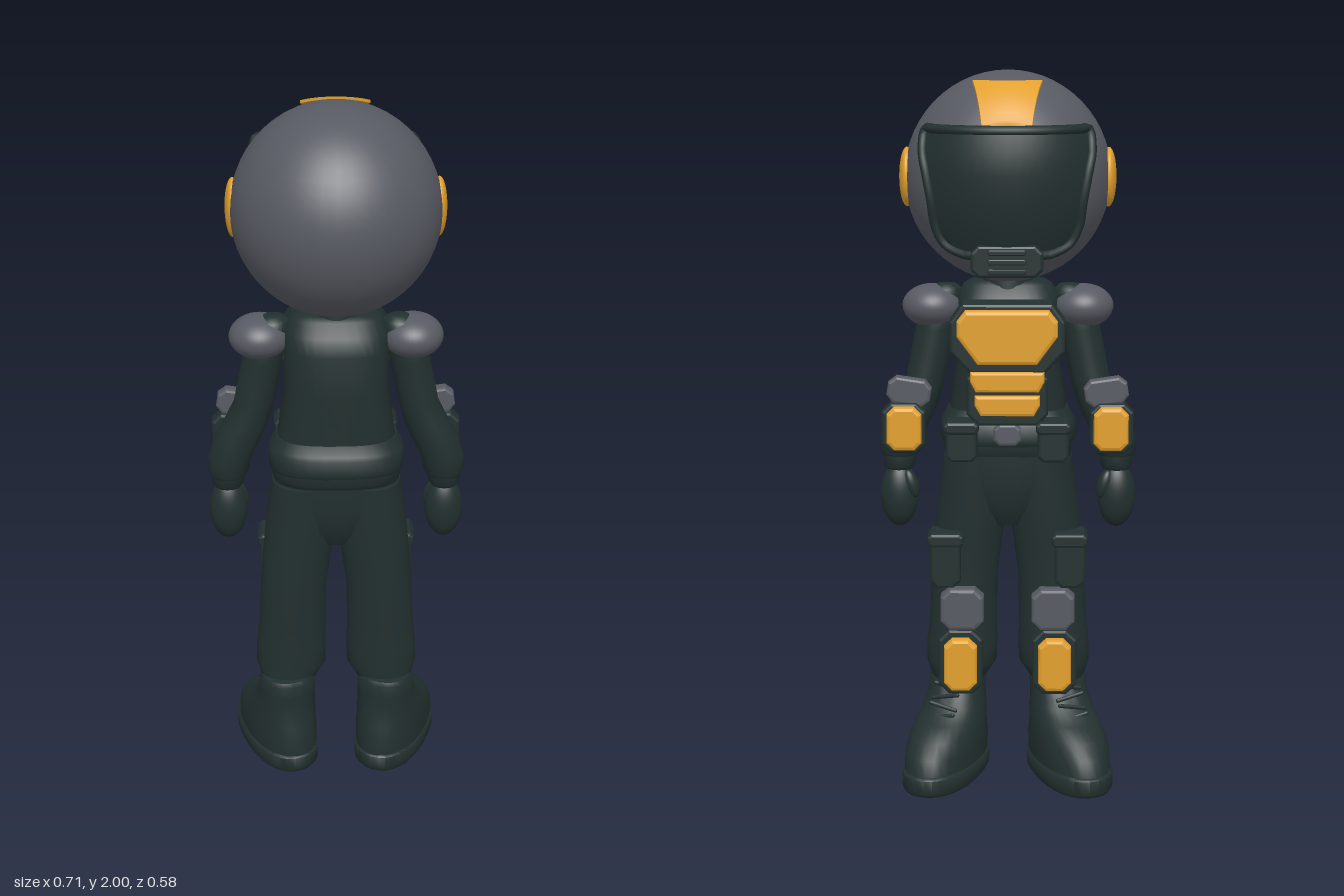
import * as THREE from 'three';
import { toCreasedNormals } from 'three/addons/utils/BufferGeometryUtils.js';

const V = (x, y, z) => new THREE.Vector3(x, y, z);

// Closed skin over equal-length rings, turned outward by its signed volume.
function loft(rings, crease = 0.8) {
  const n = rings[0].length, pts = rings.flat(), idx = [];
  const quad = (a, b, c, d) => idx.push(a, b, c, a, c, d);
  for (let i = 0; i < rings.length - 1; i++)
    for (let j = 0; j < n; j++) {
      const k = (j + 1) % n;
      quad(i * n + j, (i + 1) * n + j, (i + 1) * n + k, i * n + k);
    }
  const top = (rings.length - 1) * n;
  for (let j = 0; j < n / 2 - 1; j++) {
    quad(j, j + 1, n - 2 - j, n - 1 - j);
    quad(top + n - 1 - j, top + n - 2 - j, top + j + 1, top + j);
  }
  let volume = 0;
  for (let i = 0; i < idx.length; i += 3)
    volume += pts[idx[i]].dot(pts[idx[i + 1]].clone().cross(pts[idx[i + 2]]));
  if (volume < 0) idx.reverse();
  const g = new THREE.BufferGeometry().setFromPoints(pts);
  g.setIndex(idx);
  return toCreasedNormals(g, crease);
}

// Horizontal superellipse rings: [y, centreX, centreZ, radiusX, radiusZ].
function body(sections, power = 2, n = 32) {
  return loft(sections.map(([y, cx, cz, rx, rz]) => Array.from({ length: n }, (_, j) => {
    const t = (j + 0.5) / n * Math.PI * 2, c = Math.cos(t), s = Math.sin(t), e = 2 / power;
    return V(cx + rx * Math.sign(c) * Math.abs(c) ** e, y, cz + rz * Math.sign(s) * Math.abs(s) ** e);
  })));
}

// Bevelled plate in the xy plane, spanning z0..z1.
function plate(points, z0, z1, bevel = 0.008) {
  const g = new THREE.ExtrudeGeometry(new THREE.Shape(points.map(p => new THREE.Vector2(...p))), {
    depth: z1 - z0 - 2 * bevel, bevelEnabled: true, bevelThickness: bevel,
    bevelSize: bevel, bevelOffset: -bevel, bevelSegments: 2,
  });
  return g.translate(0, 0, z0 + bevel);
}

// Chamfered rectangle outline around the origin.
function rect(w, h, c = 0.015) {
  const x = w / 2, y = h / 2;
  return [[-x + c, -y], [x - c, -y], [x, -y + c], [x, y - c], [x - c, y], [-x + c, y], [-x, y - c], [-x, -y + c]];
}

export function createModel() {
  const model = new THREE.Group();
  model.name = 'armouredFigure';
  const mat = (name, color) => Object.assign(new THREE.MeshStandardMaterial({ color }), { name });
  const dark = mat('darkCloth', 0x22302f);
  const grey = mat('greyShell', 0x575a62);
  const orange = mat('orangePanel', 0xe2a02c);

  const add = (name, geo, m, x = 0, y = 0, z = 0, parent = model) => {
    const mesh = new THREE.Mesh(geo, m);
    mesh.name = name;
    mesh.position.set(x, y, z);
    parent.add(mesh);
    return mesh;
  };
  const ball = (name, m, x, y, z, rx, ry, rz) => {
    const mesh = add(name, new THREE.SphereGeometry(1, 40, 28), m, x, y, z);
    mesh.scale.set(rx, ry, rz);
    return mesh;
  };

  // Helmet
  ball('helmet', grey, 0, 1.716, 0.008, 0.28, 0.284, 0.284);

  // Visor: curved shell whose radius and half-angle vary with height
  const visorRows = [[1.855, 0.28, 0.86], [1.80, 0.294, 0.85], [1.74, 0.297, 0.79], [1.67, 0.291, 0.75],
    [1.60, 0.275, 0.75], [1.555, 0.259, 0.68], [1.53, 0.25, 0.45]];
  const onArc = (r, a, y) => V(r * Math.sin(a), y, 0.008 - r * Math.cos(a));
  const arc = (r, a, y) => Array.from({ length: 17 }, (_, i) => onArc(r, a * (i / 8 - 1), y));
  add('visor', loft(visorRows.map(([y, r, a]) => [...arc(r - 0.004, a, y), ...arc(r - 0.035, a, y).reverse()]), 0.6), dark);
  const [topRow, lowRow] = [visorRows[0], visorRows[6]];
  const rim = [
    ...arc(topRow[1], topRow[2], topRow[0]),
    ...visorRows.slice(1, 6).map(([y, r, a]) => onArc(r, a, y)),
    ...arc(lowRow[1], lowRow[2], lowRow[0]).reverse(),
    ...visorRows.slice(1, 6).reverse().map(([y, r, a]) => onArc(r, -a, y)),
  ].map(p => p.add(V(0, 0, 0.008)));
  add('visorRim', new THREE.TubeGeometry(new THREE.CatmullRomCurve3(rim, true), 120, 0.013, 8, true), dark);

  // Chin guard with grille bars
  add('chinGuard', plate(rect(0.19, 0.085, 0.02), -0.248, -0.185), dark, 0, 1.515, 0);
  for (let i = 0; i < 3; i++)
    add('chinBar', plate(rect(0.1, 0.015, 0.004), -0.258, -0.24, 0.003), dark, 0, 1.49 + i * 0.025, 0);

  // Orange crest patch following the helmet crown
  const crest = Array.from({ length: 9 }, (_, i) => {
    const t = i / 8, row = r => Array.from({ length: 9 }, (_, j) => {
      const u = j / 4 - 1, x = u * (0.065 + 0.027 * t);
      const z = -0.24 + t * (0.105 + 0.035 * u * u);
      return V(x, 1.716 + Math.sqrt(r * r - x * x - (z - 0.008) ** 2), z);
    });
    return [...row(0.297), ...row(0.29).reverse()];
  });
  add('crestPatch', loft(crest), orange);

  // Neck, torso, belt and hips
  add('neck', new THREE.CylinderGeometry(0.065, 0.075, 0.1, 28), dark, 0, 1.42, 0.015);
  add('torso', body([[0.96, 0, 0.025, 0.165, 0.1], [1.08, 0, 0.025, 0.162, 0.1], [1.22, 0, 0.025, 0.142, 0.108],
    [1.34, 0, 0.025, 0.142, 0.108], [1.39, 0, 0.025, 0.14, 0.095], [1.425, 0, 0.02, 0.12, 0.07],
    [1.435, 0, 0.02, 0.1, 0.055]], 2.7), dark);
  add('jacketHem', body([[0.945, 0, 0.025, 0.165, 0.1], [0.96, 0, 0.025, 0.177, 0.11], [0.985, 0, 0.025, 0.178, 0.112]], 2.7), dark);
  add('belt', body([[0.985, 0, 0.025, 0.182, 0.116], [0.995, 0, 0.025, 0.187, 0.121], [1.04, 0, 0.025, 0.187, 0.121],
    [1.05, 0, 0.025, 0.182, 0.114], [1.08, 0, 0.025, 0.166, 0.103]], 2.7), dark);
  add('hips', body([[0.75, 0, 0.02, 0.05, 0.06], [0.8, 0, 0.02, 0.11, 0.088], [0.88, 0, 0.02, 0.172, 0.1],
    [0.96, 0, 0.02, 0.176, 0.102]], 2.5), dark);

  // Chest armour
  add('chestVest', plate([[-0.1, 1.2], [0.1, 1.2], [0.155, 1.26], [0.155, 1.34], [0.12, 1.39], [-0.12, 1.39],
    [-0.155, 1.34], [-0.155, 1.26]], -0.153, -0.06), dark);
  add('chestPanel', plate([[-0.08, 1.23], [0.08, 1.23], [0.135, 1.305], [0.135, 1.345], [0.112, 1.375], [-0.112, 1.375],
    [-0.135, 1.345], [-0.135, 1.305]], -0.185, -0.145, 0.01), orange);
  add('bellyBacking', plate(rect(0.22, 0.16, 0.03), -0.14, -0.06), dark, 0, 1.135, 0);
  const trapezoid = (w, v, h) => [[-v, -h], [v, -h], [w, 0], [w, h], [-w, h], [-w, 0]];
  add('bellyPanel', plate(trapezoid(0.1, 0.085, 0.028), -0.16, -0.13), orange, 0, 1.178, 0);
  add('bellyPanel', plate(trapezoid(0.088, 0.072, 0.028), -0.155, -0.125), orange, 0, 1.112, 0);
  add('beltBuckle', plate(rect(0.075, 0.06), -0.122, -0.08), grey, 0, 1.025, 0);

  for (const s of [1, -1]) {
    const mirror = rows => rows.map(([y, x, ...rest]) => [y, x * s, ...rest]);

    // Ear disc
    ball('earDisc', orange, s * 0.272, 1.716, -0.01, 0.021, 0.08, 0.062);

    // Arm, cuff and hand
    ball('shoulderPad', grey, s * 0.207, 1.362, 0.018, 0.083, 0.06, 0.084);
    add('sleeve', body(mirror([[0.945, 0.3, 0.012, 0.05, 0.05], [0.955, 0.3, 0.012, 0.056, 0.055], [1.0, 0.295, 0.012, 0.06, 0.058],
      [1.06, 0.272, 0.013, 0.066, 0.059], [1.1, 0.252, 0.014, 0.062, 0.057], [1.17, 0.225, 0.016, 0.055, 0.055],
      [1.3, 0.2, 0.018, 0.055, 0.057], [1.38, 0.183, 0.02, 0.058, 0.055], [1.41, 0.173, 0.02, 0.046, 0.042],
      [1.423, 0.168, 0.02, 0.025, 0.02]])), dark);
    add('cuff', body(mirror([[0.905, 0.302, 0.005, 0.036, 0.034], [0.915, 0.302, 0.005, 0.043, 0.042],
      [0.95, 0.3, 0.008, 0.045, 0.044]])), dark);
    ball('hand', dark, s * 0.303, 0.832, 0, 0.053, 0.092, 0.045);
    const thumb = ball('thumb', dark, s * 0.268, 0.865, -0.02, 0.02, 0.042, 0.02);
    thumb.rotation.z = s * -0.3;

    // Forearm armour
    add('elbowPad', plate(rect(0.12, 0.075, 0.02), -0.075, -0.035), grey, s * 0.27, 1.135, 0).rotation.z = s * 0.15;
    add('forearmGuard', plate(rect(0.12, 0.14, 0.025), -0.083, -0.03), dark, s * 0.285, 1.035, 0);
    add('forearmPanel', plate(rect(0.095, 0.12, 0.02), -0.106, -0.075, 0.01), orange, s * 0.283, 1.037, 0);

    // Belt pouch
    add('beltPouch', plate(rect(0.085, 0.11, 0.015), -0.148, -0.06), dark, s * 0.125, 1.01, 0);
    add('pouchFlap', plate(rect(0.095, 0.035, 0.01), -0.157, -0.07), dark, s * 0.125, 1.05, 0);

    // Leg
    add('trouserLeg', body(mirror([[0.28, 0.142, 0.03, 0.07, 0.06], [0.315, 0.136, 0.022, 0.086, 0.067], [0.345, 0.131, 0.02, 0.1, 0.071],
      [0.4, 0.13, 0.02, 0.1, 0.073], [0.48, 0.126, 0.022, 0.095, 0.076], [0.6, 0.122, 0.025, 0.093, 0.08],
      [0.7, 0.112, 0.024, 0.096, 0.086], [0.8, 0.1, 0.022, 0.098, 0.094], [0.94, 0.092, 0.02, 0.086, 0.1]]), 2.2), dark);

    // Thigh pouch, knee pad and shin guard
    add('thighPouch', plate(rect(0.085, 0.16, 0.02), -0.085, 0.0), dark, s * 0.173, 0.66, 0);
    add('thighFlap', plate(rect(0.1, 0.04, 0.01), -0.1, 0.0), dark, s * 0.172, 0.72, 0);
    add('kneePad', plate(rect(0.12, 0.12, 0.025), -0.09, -0.03, 0.01), grey, s * 0.127, 0.518, 0);
    add('shinGuard', plate(rect(0.125, 0.19, 0.03), -0.08, -0.02), dark, s * 0.132, 0.362, 0);
    add('shinPanel', plate(rect(0.092, 0.15, 0.022), -0.107, -0.07, 0.01), orange, s * 0.132, 0.36, 0);

    // Boot, turned outward
    const boot = new THREE.Group();
    boot.name = 'boot';
    boot.position.set(s * 0.145, 0, 0.03);
    boot.rotation.y = -s * 0.35;
    model.add(boot);
    add('bootSole', body([[0, 0, -0.09, 0.055, 0.12], [0.02, 0, -0.088, 0.094, 0.188], [0.03, 0, -0.087, 0.1, 0.196],
      [0.07, 0, -0.087, 0.1, 0.196], [0.076, 0, -0.087, 0.094, 0.19]], 2.3), dark, 0, 0, 0, boot);
    add('bootUpper', body([[0.07, 0, -0.085, 0.096, 0.19], [0.12, 0, -0.08, 0.098, 0.182], [0.16, 0, -0.067, 0.094, 0.16],
      [0.19, 0, -0.042, 0.09, 0.128], [0.22, 0, -0.015, 0.084, 0.097], [0.26, 0, 0.002, 0.08, 0.08],
      [0.3, 0, 0.01, 0.08, 0.075], [0.312, 0, 0.01, 0.074, 0.069]], 2.2), dark, 0, 0, 0, boot);
    for (let i = 0; i < 4; i++) {
      const lace = add('lace', new THREE.CapsuleGeometry(0.006, 0.075, 4, 8), dark, 0, 0.205 + i * 0.024, -0.128 + i * 0.018, boot);
      lace.rotation.z = Math.PI / 2 + (i % 2 ? 0.2 : -0.2);
    }
  }
  return model;
}
